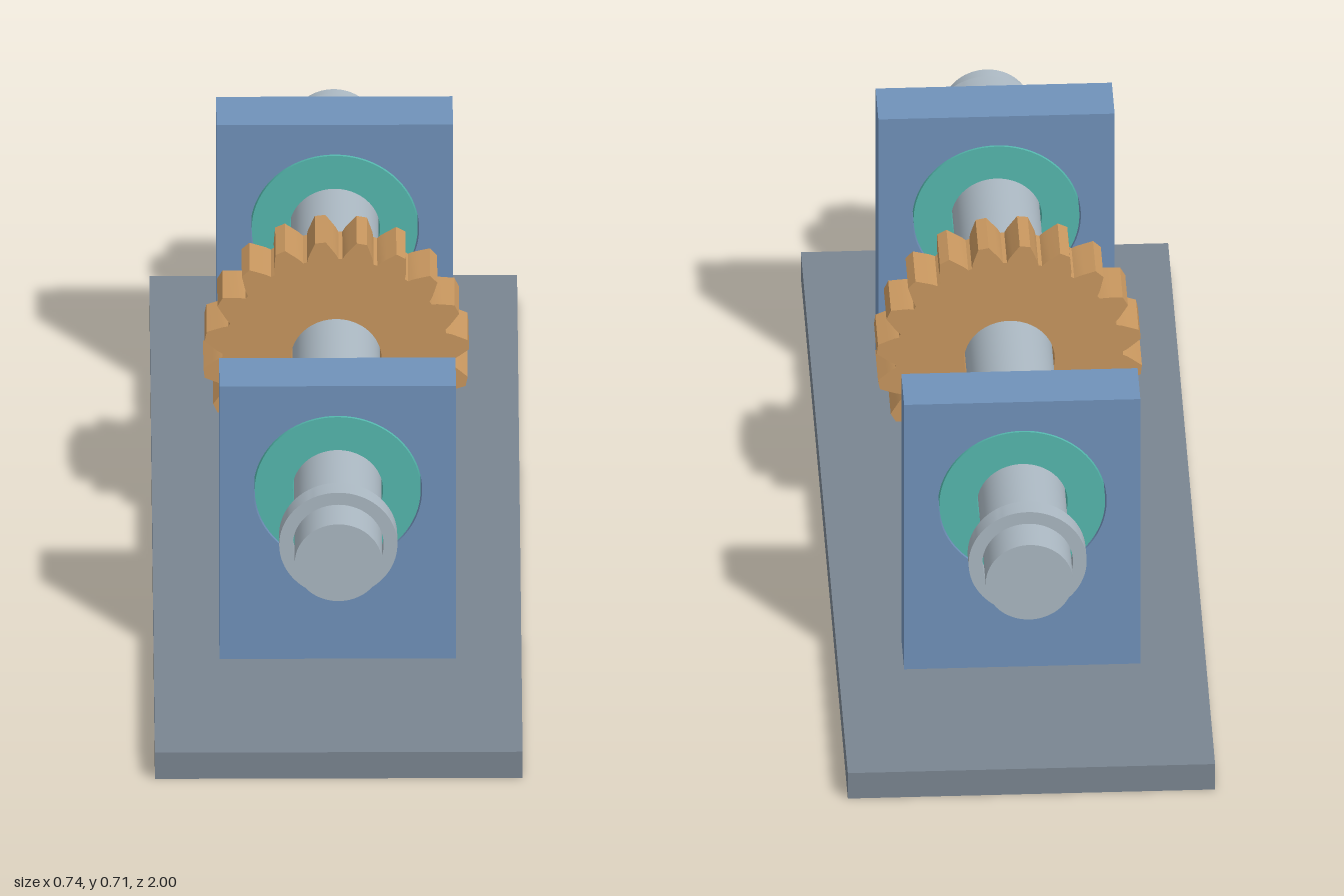
import * as THREE from 'three';
import { toCreasedNormals } from 'three/addons/utils/BufferGeometryUtils.js';

const AXIS_Y = 0.447; // height of the shaft axis
const BORE = 0.0915; // clearance bore around the shaft

const material = (name, color) => {
  const m = new THREE.MeshStandardMaterial({ color });
  m.name = name;
  return m;
};

// Ring with a square section, lying along z
function ringGeometry(inner, outer, length) {
  const h = length / 2;
  const profile = [[inner, -h], [outer, -h], [outer, h], [inner, h], [inner, -h]]
    .map(([r, y]) => new THREE.Vector2(r, y));
  return toCreasedNormals(new THREE.LatheGeometry(profile, 72).rotateX(Math.PI / 2), 0.5);
}

// Extruded outline with a round hole, centred in depth
function plateGeometry(points, holeX, holeY, holeR, depth) {
  const shape = new THREE.Shape(points.map(([x, y]) => new THREE.Vector2(x, y)));
  const hole = new THREE.Path();
  hole.absarc(holeX, holeY, holeR, 0, Math.PI * 2, true);
  shape.holes.push(hole);
  const geometry = new THREE.ExtrudeGeometry(shape, { depth, bevelEnabled: false, curveSegments: 72 });
  return toCreasedNormals(geometry.translate(0, 0, -depth / 2), 0.3);
}

// Outline of the spur gear: root, flank and tip points for each tooth
function gearOutline(teeth) {
  const tooth = [[-8, 0.229], [-6.8, 0.2386], [-5.1, 0.249], [-2.3, 0.268],
    [2.3, 0.268], [5.1, 0.249], [6.8, 0.2386], [8, 0.229]];
  const points = [];
  for (let i = 0; i < teeth; i++) {
    for (const [offset, r] of tooth) {
      const a = THREE.MathUtils.degToRad(6.8 + (i * 360) / teeth + offset);
      points.push([r * Math.cos(a), r * Math.sin(a)]);
    }
  }
  return points;
}

export function createModel() {
  const group = new THREE.Group();
  group.name = 'gearShaftStand';

  const baseGrey = material('base grey', 0x7a8591);
  const supportBlue = material('support blue', 0x7092ba);
  const bearingTeal = material('bearing teal', 0x55b8ae);
  const steel = material('steel', 0xabb8c2);
  const bronze = material('bronze', 0xc8975f);

  const add = (name, geometry, mat, y, z = 0) => {
    const mesh = new THREE.Mesh(geometry, mat);
    mesh.name = name;
    mesh.position.set(0, y, z);
    group.add(mesh);
  };

  // Base plate
  add('basePlate', new THREE.BoxGeometry(0.74, 0.06, 2), baseGrey, 0.03);

  // Shaft and central gear
  add('shaft', new THREE.CylinderGeometry(0.088, 0.088, 1.826, 72).rotateX(Math.PI / 2), steel, AXIS_Y);
  add('gear', plateGeometry(gearOutline(20), 0, 0, BORE, 0.116), bronze, AXIS_Y);

  // Bored supports, bearings and retaining collars at both ends
  const support = plateGeometry(
    [[-0.238, 0.06], [0.238, 0.06], [0.238, 0.685], [-0.238, 0.685]], 0, AXIS_Y, 0.17, 0.119);
  const bearing = ringGeometry(BORE, 0.167, 0.119);
  const collar = ringGeometry(BORE, 0.119, 0.042);
  for (const [end, side] of [['front', 1], ['back', -1]]) {
    add(end + 'Support', support, supportBlue, 0, side * 0.548);
    add(end + 'Bearing', bearing, bearingTeal, AXIS_Y, side * 0.548);
    add(end + 'Collar', collar, steel, AXIS_Y, side * 0.816);
  }

  return group;
}
